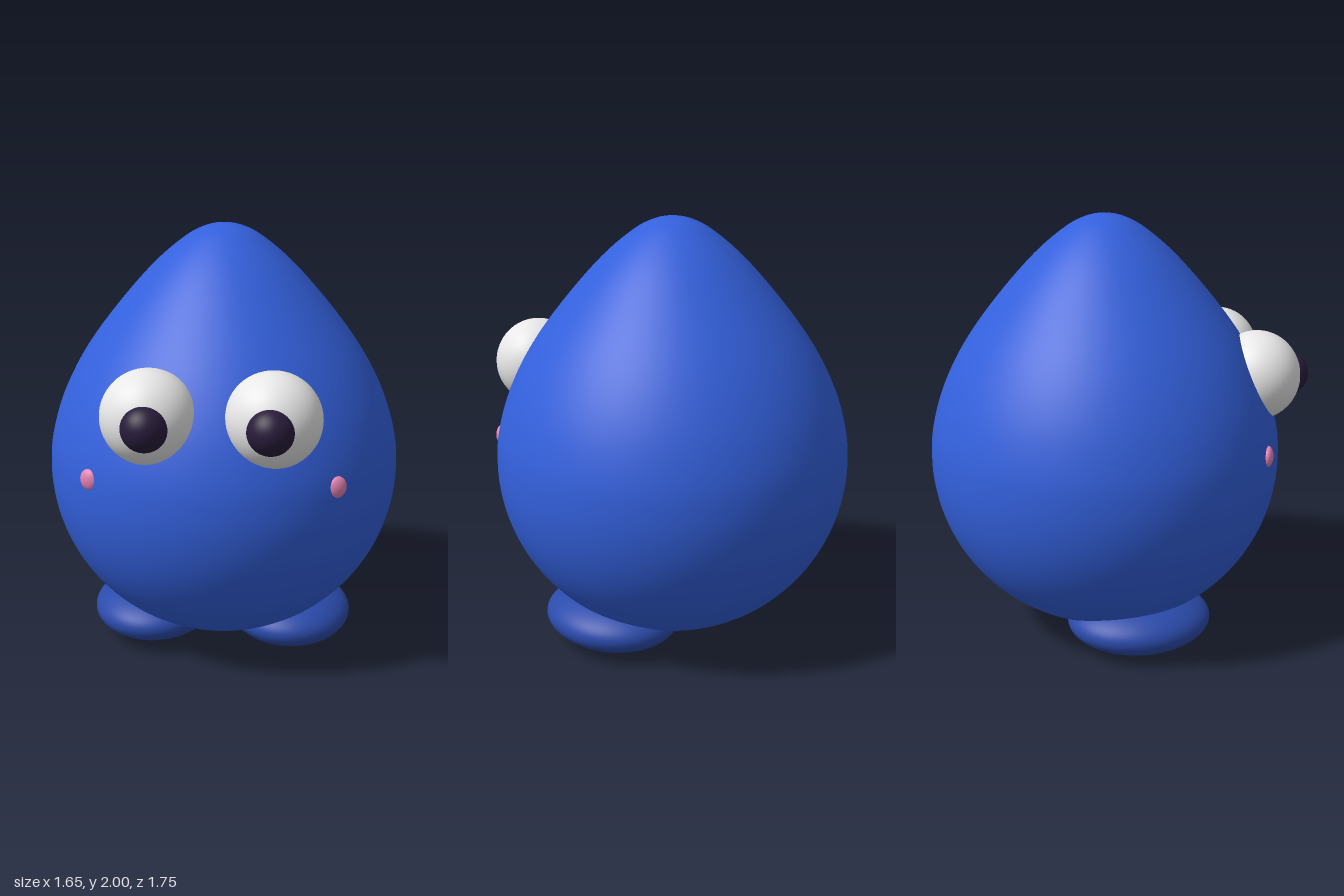
import * as THREE from 'three';

const material = (name, color) => {
  const m = new THREE.MeshStandardMaterial({ color });
  m.name = name;
  return m;
};

export function createModel() {
  const blue = material('body blue', 0x3360dc);
  const footBlue = material('foot blue', 0x2b4bab);
  const white = material('eye white', 0xe8e8e8);
  const dark = material('pupil dark', 0x291c3a);
  const pink = material('cheek pink', 0xe483b2);

  const model = new THREE.Group();
  model.name = 'dropCharacter';

  // The whole figure is turned towards its left
  const figure = new THREE.Group();
  figure.name = 'figure';
  figure.position.z = -0.05;
  figure.rotation.y = THREE.MathUtils.degToRad(31.5);
  model.add(figure);

  const unitSphere = new THREE.SphereGeometry(1, 48, 32);
  const ellipsoid = (name, mat, position, radii, yaw = 0) => {
    const mesh = new THREE.Mesh(unitSphere, mat);
    mesh.name = name;
    mesh.position.set(...position);
    mesh.scale.set(...radii);
    mesh.rotation.y = yaw;
    figure.add(mesh);
  };

  // Body: round bowl below, softly pointed top
  const R = 0.823, midY = 0.87;
  const profile = [];
  for (let i = 0; i <= 10; i++) {
    const a = (i / 10) * Math.PI / 2;
    profile.push(new THREE.Vector2(R * Math.sin(a), midY - R * Math.cos(a)));
  }
  for (const [r, y] of [[0.81, 1.02], [0.753, 1.21], [0.65, 1.41], [0.504, 1.61],
    [0.327, 1.81], [0.178, 1.936], [0.08, 1.986], [0, 2]]) {
    profile.push(new THREE.Vector2(r, y));
  }
  const points = new THREE.SplineCurve(profile).getPoints(90);
  points.forEach(p => { p.x = Math.max(p.x, 0); });
  const body = new THREE.Mesh(new THREE.LatheGeometry(points, 96), blue);
  body.name = 'body';
  figure.add(body);

  // Paired parts; the cheeks face a little more forward than the body surface
  const cheekAngle = THREE.MathUtils.degToRad(41);
  const cheekYaw = THREE.MathUtils.degToRad(26);
  for (const [side, s] of [['left', 1], ['right', -1]]) {
    ellipsoid(side + 'Eye', white, [s * 0.262, 1.265, 0.66], [0.207, 0.206, 0.197]);
    ellipsoid(side + 'Pupil', dark, [s * 0.257, 1.26, 0.812], [0.1, 0.101, 0.099]);
    ellipsoid(side + 'Cheek', pink,
      [s * 0.811 * Math.sin(cheekAngle), 0.96, 0.811 * Math.cos(cheekAngle)],
      [0.046, 0.049, 0.027], s * cheekYaw);
    ellipsoid(side + 'Foot', footBlue, [s * 0.332, 0.138, 0.075], [0.293, 0.135, 0.34]);
  }
  return model;
}
